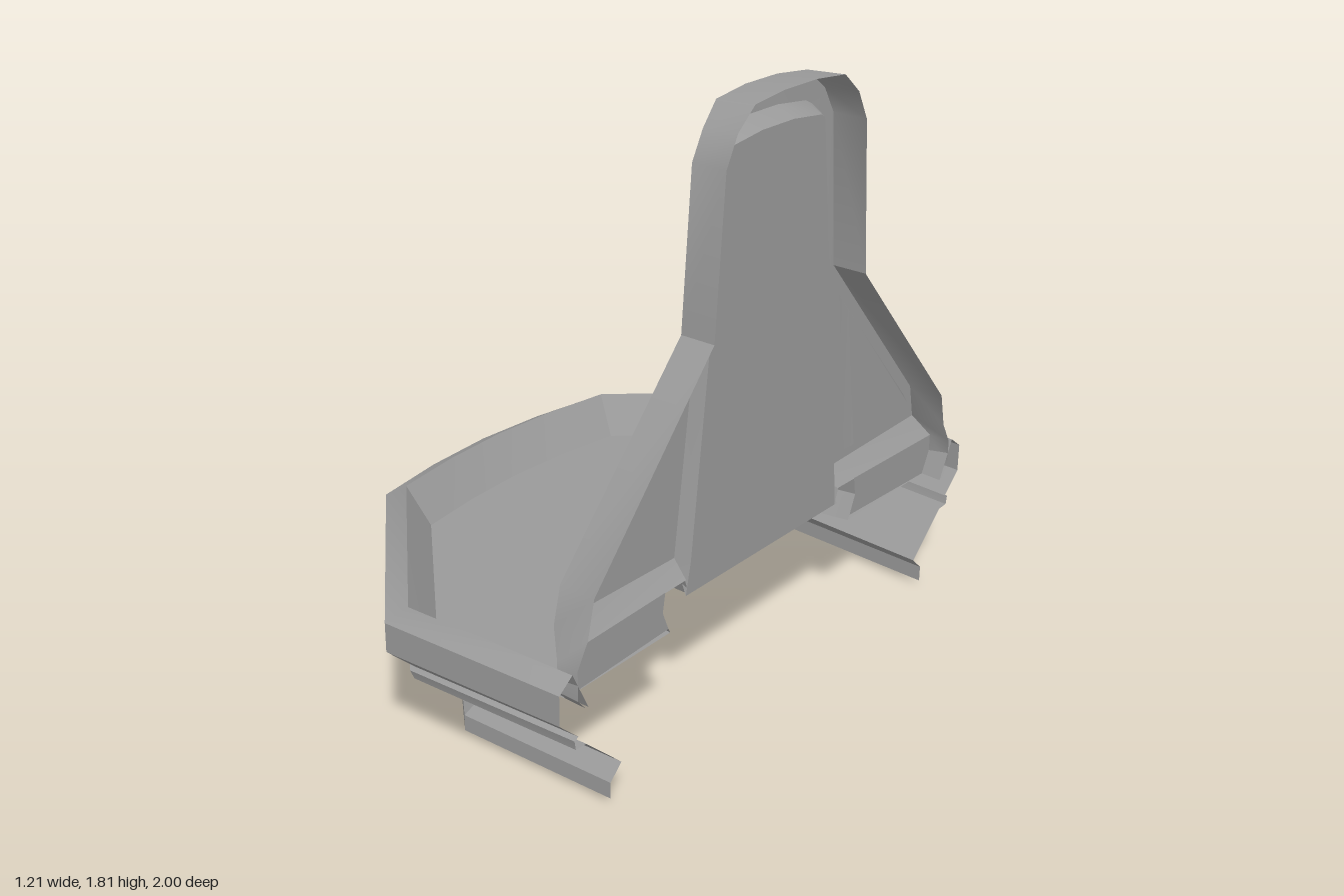
import * as THREE from 'three';
import { toCreasedNormals } from 'three/addons/utils/BufferGeometryUtils.js';

const material = new THREE.MeshStandardMaterial({ color: 0x9a9a9a, side: THREE.DoubleSide });

function mesh(name, geometry) {
  const m = new THREE.Mesh(geometry, material);
  m.name = name;
  return m;
}

// Skin a list of rows, each an equally long list of [x, y, z]; edges over 30 degrees stay sharp
function loft(rows) {
  const out = [];
  for (let r = 0; r < rows.length - 1; r++) {
    for (let i = 0; i < rows[r].length - 1; i++) {
      const a = rows[r][i], b = rows[r][i + 1], c = rows[r + 1][i + 1], d = rows[r + 1][i];
      out.push(...a, ...b, ...c, ...a, ...c, ...d);
    }
  }
  const g = new THREE.BufferGeometry();
  g.setAttribute('position', new THREE.Float32BufferAttribute(out, 3));
  return toCreasedNormals(g, Math.PI / 6);
}

// Complete a half row (ending on the centre line) with its mirror image in z
const mirrorRow = (half) => [...half, ...half.slice(0, -1).reverse().map(([x, y, z]) => [x, y, -z])];
// The same for [z, y, x] outlines that do not touch the centre line
const flip = (pts) => pts.map(([z, y, x]) => [-z, y, x]);
const mirrorOutline = (half) => [...half, ...flip(half).reverse()];

// Half-octagon plan of the basin: back end, side corner, front corner, rounded front
function basinRow(y, frontY, backZ, bx, bz, cx, cz, front, backX = 0.6) {
  const mid = front + (cx - front) * 0.28;
  return mirrorRow([
    [backX, y, backZ], [bx, y, bz], [cx, y, cz],
    [mid, y + (frontY - y) * 0.75, cz / 2], [front, frontY, 0],
  ]);
}

// Plan of the small bowl under the back panel
function bowlRow(y, s, inner = false) {
  const plan = inner
    ? [[0.53, 0.37], [0.33, 0.37], [0.2, 0.265], [0.19, 0.1], [0.19, 0]]
    : [[0.53, 0.465], [0.29, 0.42], [0.12, 0.265], [0.085, 0.1], [0.085, 0]];
  return mirrorRow(plan.map(([x, z]) => [0.53 + (x - 0.53) * s, y, z * s]));
}

// Wall points: an outline point may carry its own depth, others follow the leaning front
const frontX = (y) => (y > 1.19 ? 0.49 - 0.028 * (y - 1.19) : 0.49 - 0.0105 * (1.19 - y));
const onFront = ([z, y, x]) => [x ?? frontX(y), y, z];
const PANEL_X = 0.53;
const onPanel = ([z, y]) => [PANEL_X, y, z];
const onWing = ([z, y]) => [frontX(y) + 0.025, y, z];

// Flat [z, y] shape set into place by a mapping
function sheet(pts, holes, place) {
  const toVectors = (list) => list.map(([z, y]) => new THREE.Vector2(z, y));
  const shape = new THREE.Shape(toVectors(pts));
  holes.forEach((h) => shape.holes.push(new THREE.Path(toVectors(h))));
  const g = new THREE.ShapeGeometry(shape);
  const p = g.attributes.position;
  for (let i = 0; i < p.count; i++) p.setXYZ(i, ...place([p.getX(i), p.getY(i)]));
  g.computeVertexNormals();
  return g;
}

export function createModel() {
  const group = new THREE.Group();

  // Basin: rim, undercut, ledge, waist and foot
  group.add(mesh('basin', loft([
    basinRow(0.345, 0.345, 0.85, 0.09, 0.89, -0.42, 0.42, -0.46),
    basinRow(0.468, 0.468, 0.91, 0.04, 0.945, -0.49, 0.45, -0.535),
    basinRow(0.43, 0.43, 0.96, 0.005, 1, -0.55, 0.48, -0.605),
    basinRow(0.34, 0.34, 0.96, 0.005, 1, -0.55, 0.48, -0.605),
    basinRow(0.275, 0.275, 0.89, 0.045, 0.93, -0.48, 0.43, -0.525),
    basinRow(0.268, 0.268, 0.905, 0.035, 0.945, -0.495, 0.44, -0.55),
    basinRow(0.24, 0.236, 0.9, 0.04, 0.935, -0.49, 0.435, -0.54),
    basinRow(0.238, 0.232, 0.86, 0.055, 0.9, -0.45, 0.42, -0.505),
    basinRow(0.108, 0.138, 0.72, 0.1, 0.75, -0.28, 0.4, -0.43),
    basinRow(0.065, 0.072, 0.765, 0.08, 0.79, -0.33, 0.42, -0.48),
    basinRow(0.015, 0, 0.765, 0.08, 0.79, -0.33, 0.42, -0.48),
  ])));

  // Basin floor runs up to the foot of the bowl
  group.add(mesh('basinFloor', loft([
    basinRow(0.345, 0.345, 0.86, 0.09, 0.89, -0.42, 0.42, -0.46, 0.53),
    bowlRow(0.345, 0.93),
  ])));

  // Small bowl with its own floor
  const bowlFloor = bowlRow(0.43, 0.95, true);
  group.add(mesh('bowl', loft([
    bowlRow(0.345, 0.93), bowlRow(0.42, 1.01), bowlRow(0.48, 0.985), bowlRow(0.48, 1, true), bowlFloor,
  ])));
  group.add(mesh('bowlFloor', loft([bowlFloor, bowlFloor.map(() => [0.53, 0.43, 0])])));

  // Arched upper frame of the wall, its crown leaning forward
  const crown = [[0.35, 1.19, 0.49], [0.315, 1.65, 0.49], [0.27, 1.73, 0.488], [0.2, 1.79, 0.475], [0.07, 1.803, 0.47]];
  const arch = [[0.286, 1.19], [0.234, 1.66], [0.23, 1.69], [0.2, 1.705], [0.07, 1.72]];
  group.add(mesh('wallArch', loft([mirrorOutline(crown).map(onFront), mirrorOutline(arch).map(onFront)])));

  // Recessed central panel down to the bowl floor
  const opening = mirrorOutline([[0.36, 0.53], ...arch]);
  const panel = mirrorOutline([[0.345, 0.53], [0.272, 1.19], [0.219, 1.64], [0.215, 1.665], [0.2, 1.675], [0.07, 1.69]]);
  group.add(mesh('centralPanelEdge', loft([
    [[PANEL_X, 0.43, 0.365], ...opening.map(onFront), [PANEL_X, 0.43, -0.365]],
    [[PANEL_X, 0.43, 0.355], ...panel.map(onPanel), [PANEL_X, 0.43, -0.355]],
  ])));
  group.add(mesh('centralPanel', sheet([[0.355, 0.43], ...panel, [-0.355, 0.43]], [], onPanel)));

  // Wings with recessed panels, and the plinth tucked back below them
  const wing = [[0.36, 0.53], [0.85, 0.54], [0.825, 0.65], [0.35, 1.19], [0.286, 1.19]];
  const recess = [[0.39, 1.085], [0.46, 0.56], [0.8, 0.575], [0.79, 0.63]];
  const recessFloor = [[0.405, 1.04], [0.475, 0.58], [0.78, 0.59], [0.772, 0.618]];
  for (const [side, s] of [['left', 1], ['right', -1]]) {
    const turn = (pts) => (s > 0 ? pts : flip(pts).reverse());
    const outer = turn(recess), inner = turn(recessFloor);
    group.add(mesh(side + 'Wing', sheet(turn(wing), [outer], onFront)));
    group.add(mesh(side + 'WingEdge', loft([
      [...outer, outer[0]].map(onFront), [...inner, inner[0]].map(onWing),
    ])));
    group.add(mesh(side + 'WingPanel', sheet(inner, [], onWing)));
    group.add(mesh(side + 'PlinthSlope', loft([
      [[frontX(0.53), 0.53, 0.36 * s], [frontX(0.54), 0.54, 0.85 * s]],
      [[0.53, 0.48, 0.365 * s], [0.53, 0.47, 0.89 * s]],
    ])));
    group.add(mesh(side + 'Plinth', loft([
      [[0.53, 0.48, 0.455 * s], [0.53, 0.47, 0.89 * s]],
      [[0.53, 0.42, 0.465 * s], [0.53, 0.38, 0.89 * s]],
      [[0.53, 0.36, 0.44 * s], [0.53, 0.345, 0.86 * s]],
    ])));
  }

  // Outer edge of the wall, running back to the open rear
  const rim = mirrorOutline([
    [0.86, 0.345, 0.53], [0.89, 0.38, 0.53], [0.89, 0.47, 0.53], [0.85, 0.54], [0.825, 0.65], ...crown,
  ]);
  group.add(mesh('wallEdge', loft([
    rim.map(onFront), rim.map(([z, y]) => [0.6, y > 1.7 ? y + 0.007 : y, z]),
  ])));

  return group;
}
